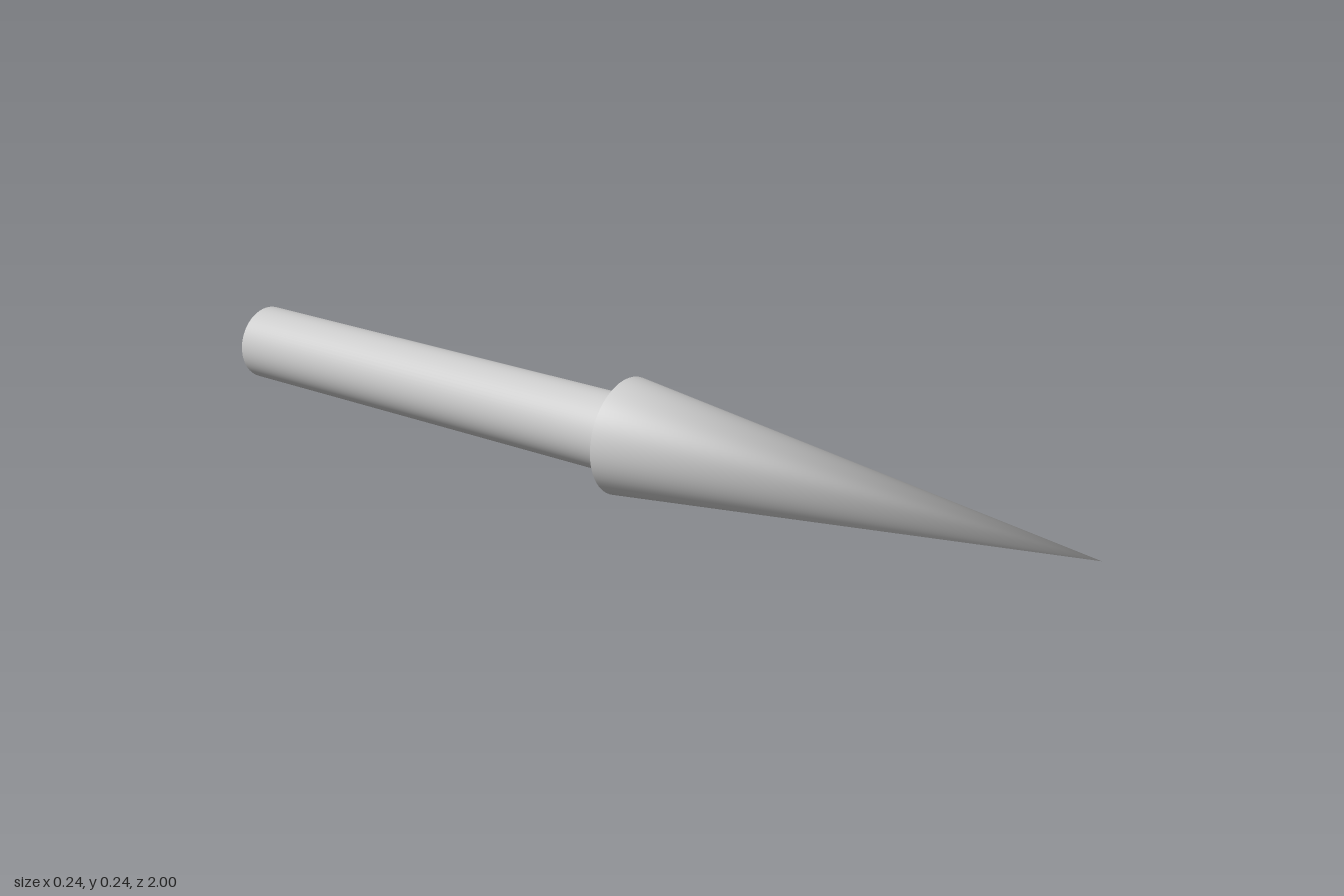
import * as THREE from 'three';

const SEGMENTS = 64;
const HEAD_RADIUS = 0.12;
const SHAFT_RADIUS = 0.08;

export function createModel() {
  const group = new THREE.Group();
  group.name = 'arrow';
  const material = new THREE.MeshStandardMaterial({ color: 0xcccccc });

  // Lays a unit-long, y-aligned geometry along z and lifts it to the arrow's axis
  function addPart(name, geometry, z) {
    geometry.rotateX(Math.PI / 2);
    const mesh = new THREE.Mesh(geometry, material);
    mesh.name = name;
    mesh.position.set(0, HEAD_RADIUS, z);
    group.add(mesh);
    return mesh;
  }

  // Long pointed head with a flat back
  const head = addPart('arrowHead', new THREE.ConeGeometry(HEAD_RADIUS, 1, SEGMENTS), 0.5);

  // The tip shares one forward normal, so the shading blends from tip to rim
  const { position, normal } = head.geometry.attributes;
  for (let i = 0; i < position.count; i++) {
    if (position.getZ(i) > 0.499) normal.setXYZ(i, 0, 0, 1);
  }

  // Round shaft with closed ends
  addPart('shaft', new THREE.CylinderGeometry(SHAFT_RADIUS, SHAFT_RADIUS, 1, SEGMENTS), -0.5);

  return group;
}
